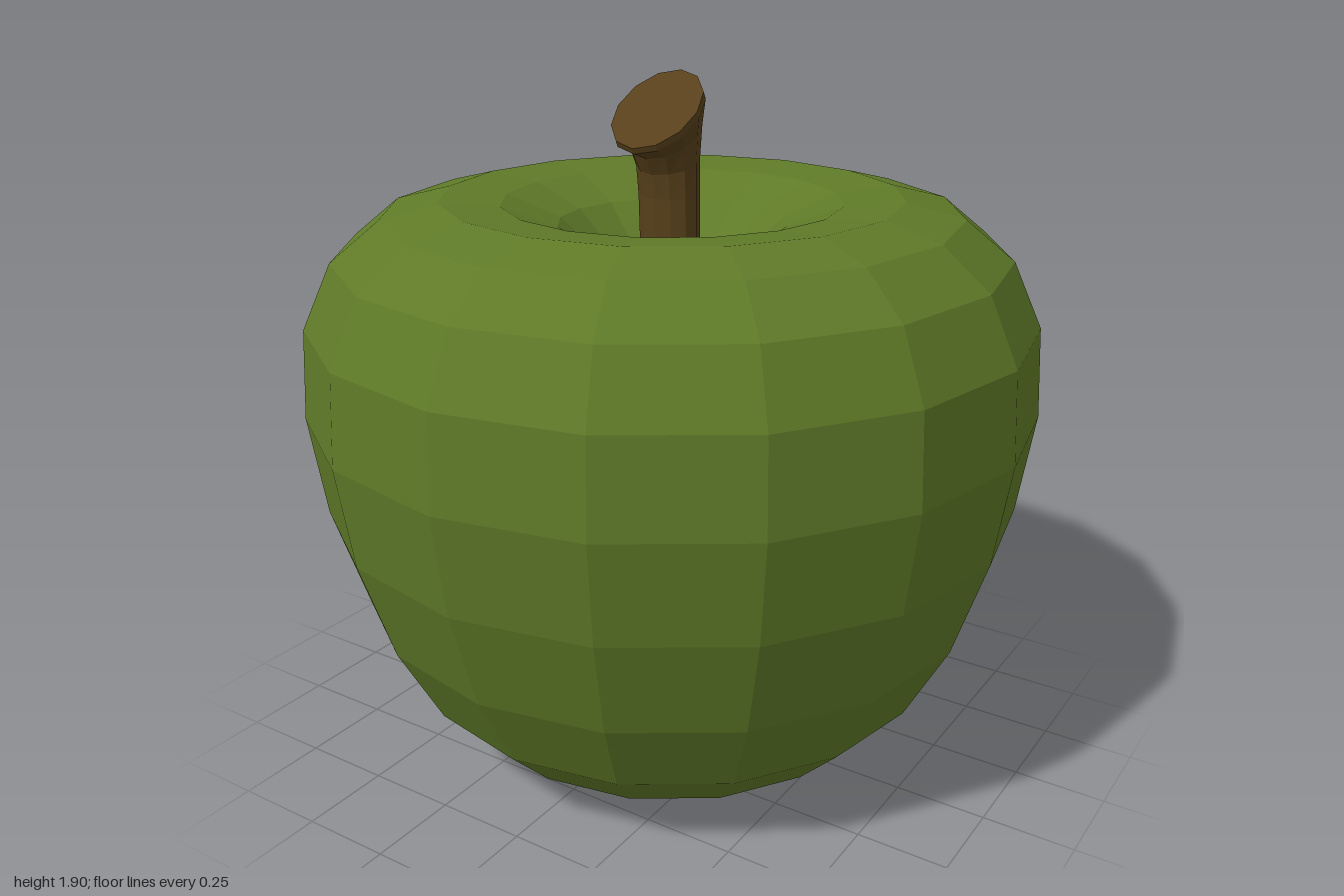
import * as THREE from 'three';

const material = (color) => new THREE.MeshStandardMaterial({ color, flatShading: true });

// Sixteen-sided body turned from one profile, with a dimple at each end
function createBody() {
  const profile = [
    [0, 0.14], [0.04, 0.09], [0.1, 0.06], [0.2, 0.03], [0.34, 0.002], [0.47, 0.025],
    [0.61, 0.1], [0.75, 0.24], [0.87, 0.465], [0.96, 0.745], [1, 1.02], [0.985, 1.265],
    [0.905, 1.44], [0.775, 1.545], [0.62, 1.585], [0.46, 1.57], [0.31, 1.51],
    [0.2, 1.41], [0.1, 1.25], [0, 1.16],
  ].map(([r, y]) => new THREE.Vector2(r, y));
  const body = new THREE.Mesh(new THREE.LatheGeometry(profile, 16), material(0x5f7a28));
  body.name = 'appleBody';
  return body;
}

// Stem lofted through rings that tilt and flare towards a slanted cut end
function createStem() {
  const sides = 12;
  // front z, front y, back z, back y, half width
  const rings = [
    [0.07, 1.12, -0.07, 1.12, 0.083],
    [0.085, 1.585, -0.055, 1.585, 0.086],
    [0.095, 1.65, -0.055, 1.7, 0.088],
    [0.122, 1.695, -0.055, 1.8, 0.1],
    [0.178, 1.715, -0.053, 1.885, 0.122],
    [0.185, 1.73, -0.042, 1.905, 0.122],
  ];
  const positions = [];
  const indices = [];
  for (const [zf, yf, zb, yb, w] of rings) {
    for (let i = 0; i < sides; i++) {
      const a = (i / sides) * Math.PI * 2;
      const t = (1 + Math.cos(a)) / 2;
      positions.push(w * Math.sin(a), yb + (yf - yb) * t, zb + (zf - zb) * t);
    }
  }
  for (let r = 0; r < rings.length - 1; r++) {
    for (let i = 0; i < sides; i++) {
      const a = r * sides + i;
      const b = r * sides + ((i + 1) % sides);
      indices.push(a, b, b + sides, a, b + sides, a + sides);
    }
  }
  // Cut face at the tip
  const [zf, yf, zb, yb] = rings[rings.length - 1];
  const last = (rings.length - 1) * sides;
  const centre = rings.length * sides;
  positions.push(0, (yf + yb) / 2, (zf + zb) / 2);
  for (let i = 0; i < sides; i++) indices.push(centre, last + i, last + ((i + 1) % sides));

  const geometry = new THREE.BufferGeometry();
  geometry.setAttribute('position', new THREE.Float32BufferAttribute(positions, 3));
  geometry.setIndex(indices);
  geometry.computeVertexNormals();
  const stem = new THREE.Mesh(geometry, material(0x57401a));
  stem.name = 'stem';
  return stem;
}

export function createModel() {
  const apple = new THREE.Group();
  apple.name = 'apple';
  apple.add(createBody(), createStem());
  return apple;
}
